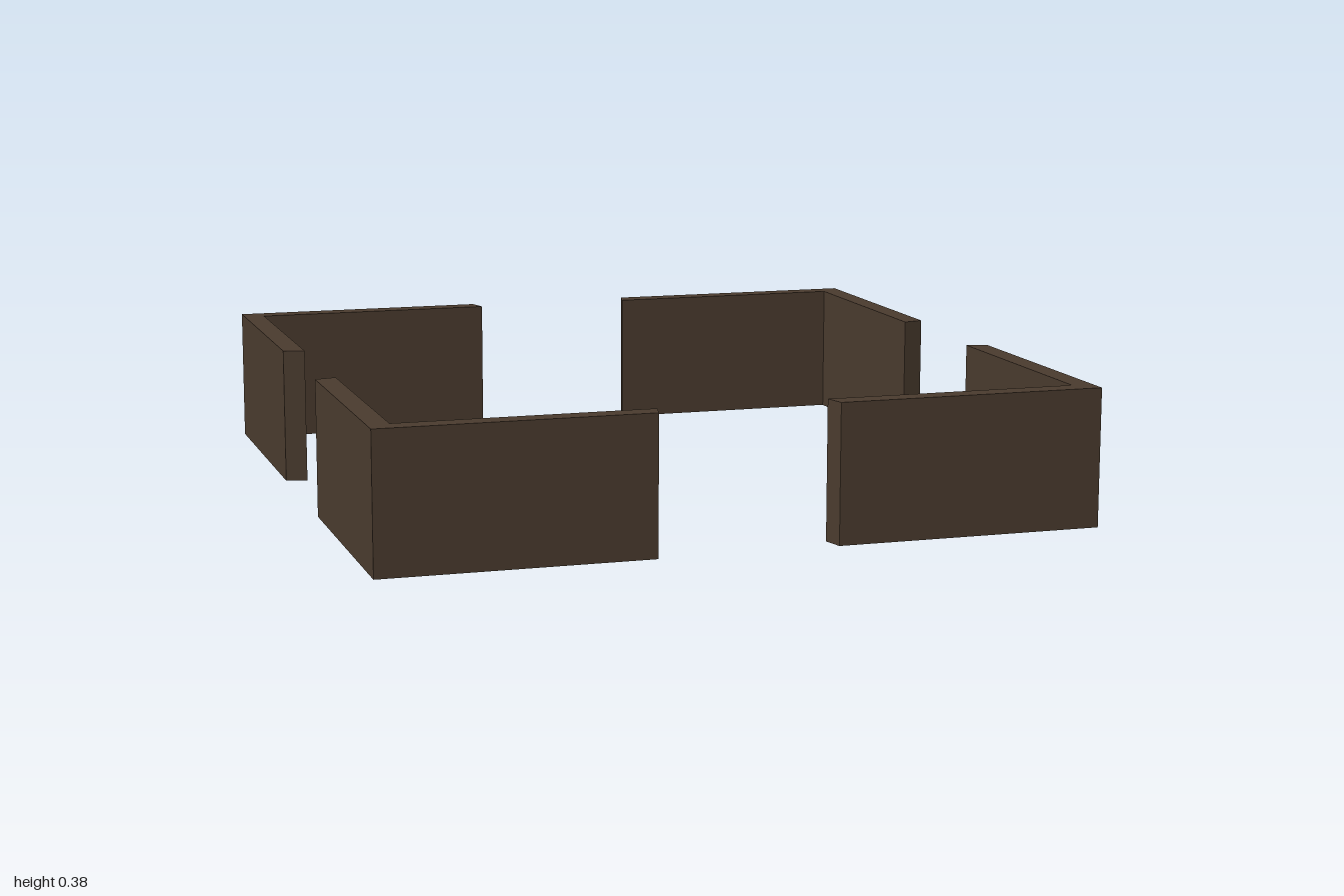
import * as THREE from 'three';

const HEIGHT = 0.385;
const OUTER = 1;        // outer face of the walls
const INNER = 0.94;     // inner face of the walls
const GAP_OUTER = 0.25; // half of the opening on the outer face
const GAP_INNER = 0.235; // half of the opening on the inner face

export function createModel() {
  const model = new THREE.Group();
  model.name = 'cornerWalls';
  const material = new THREE.MeshStandardMaterial({ color: 0x4a3b2e, flatShading: true });

  // L-shaped plan of one corner, with slanted ends
  const plan = new THREE.Shape([
    [GAP_OUTER, OUTER], [GAP_INNER, INNER], [INNER, INNER],
    [INNER, GAP_INNER], [OUTER, GAP_OUTER], [OUTER, OUTER],
  ].map(([x, y]) => new THREE.Vector2(x, y)));
  const geometry = new THREE.ExtrudeGeometry(plan, { depth: HEIGHT, bevelEnabled: false });
  geometry.rotateX(-Math.PI / 2);

  // The same corner, turned around the centre
  const names = ['backLeftWall', 'backRightWall', 'frontRightWall', 'frontLeftWall'];
  names.forEach((name, i) => {
    const wall = new THREE.Mesh(geometry, material);
    wall.name = name;
    wall.rotation.y = i * Math.PI / 2;
    model.add(wall);
  });
  return model;
}
